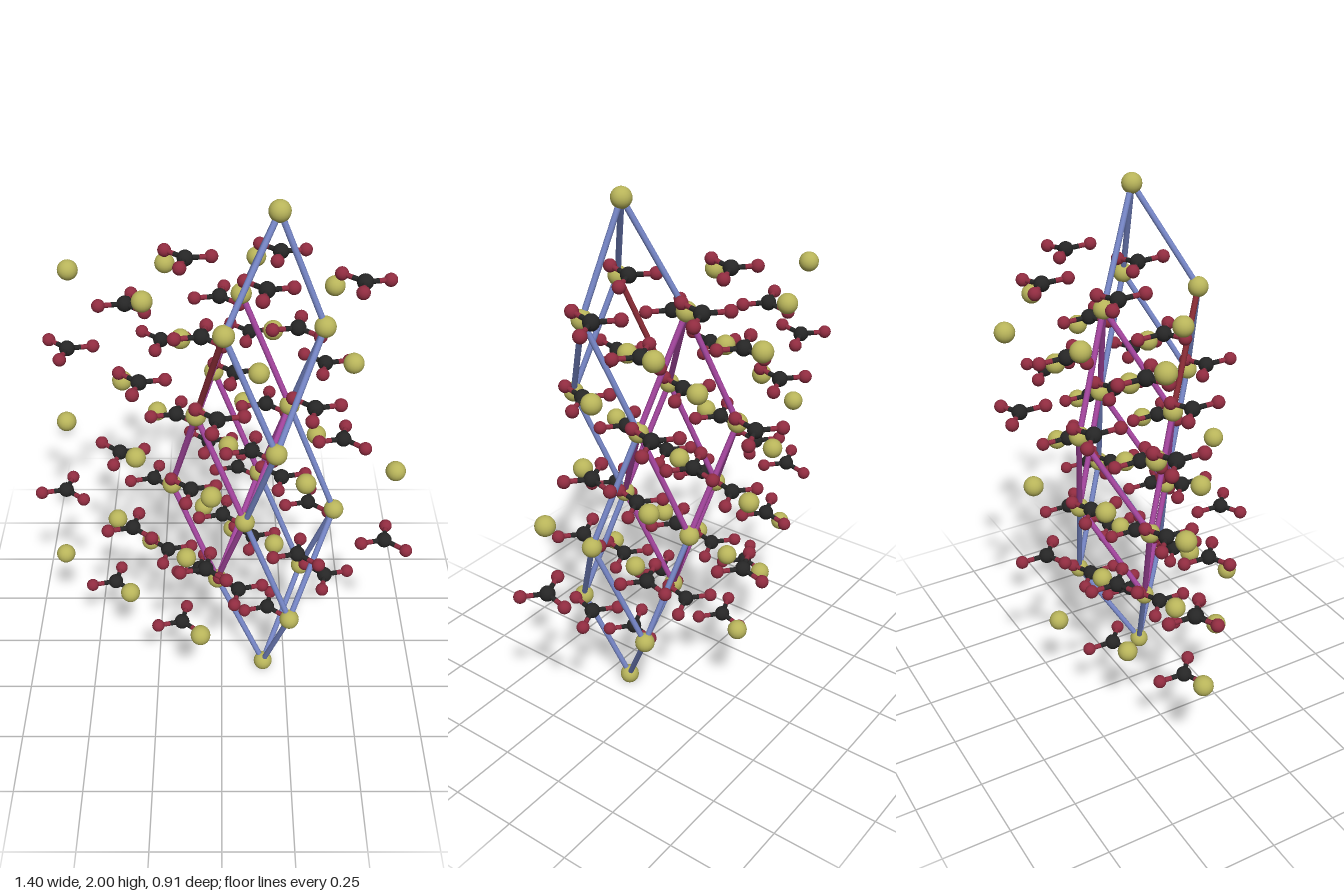
import * as THREE from 'three';

const mat = (color) => new THREE.MeshStandardMaterial({ color });
const V = (x, y, z) => new THREE.Vector3(x, y, z);

// Crystal lattice: two in-plane steps and the rise between layers of one kind
const U = V(0.267, 0.003, 0.226);
const W = V(0.06, -0.036, -0.341);
const RISE = V(0.041, 0.59, -0.061);

// Three kinds of layer, each with a base point and its cells [i, j]
const small = [[0, 0], [-1, 0], [0, 1], [1, 1]];
const large = [[0, 0], [0, 1], [0, 2], [1, 1], [1, 2], [-1, 0], [-1, 1], [-2, 0]];
const LAYERS = {
  A: { base: V(-0.077, 0.442, 0.402), cells: large },
  B: { base: V(-0.13, 0.627, 0.19), cells: small },
  C: { base: V(0.082, 0.812, 0.21), cells: small },
};
const site = (kind, n, i, j) => LAYERS[kind].base.clone()
  .addScaledVector(RISE, n).addScaledVector(U, i).addScaledVector(W, j);

// All sites of one layer, with any extra cells
const layerSites = (kind, n, ...extra) => [...LAYERS[kind].cells, ...extra]
  .map(([i, j]) => site(kind, n, i, j));

export function createModel() {
  const model = new THREE.Group();
  model.name = 'crystalLattice';

  const colors = {
    metal: mat(0xb8b45a), carbon: mat(0x262626), oxygen: mat(0x902c40),
    blue: mat(0x7787c8), magenta: mat(0xa646a0), red: mat(0x8a2c36),
  };
  const sphere = new THREE.SphereGeometry(1, 20, 12);
  const cylinder = new THREE.CylinderGeometry(1, 1, 1, 10, 1, true);

  const ball = (parent, name, p, r, material) => {
    const mesh = new THREE.Mesh(sphere, material);
    mesh.name = name;
    mesh.position.copy(p);
    mesh.scale.setScalar(r);
    parent.add(mesh);
  };
  const rod = (parent, name, a, b, r, material) => {
    const mesh = new THREE.Mesh(cylinder, material);
    const d = b.clone().sub(a);
    mesh.name = name;
    mesh.position.copy(a).add(b).multiplyScalar(0.5);
    mesh.scale.set(r, d.length(), r);
    mesh.quaternion.setFromUnitVectors(V(0, 1, 0), d.normalize());
    parent.add(mesh);
  };

  // Metal atoms
  const metals = new THREE.Group();
  metals.name = 'metalAtoms';
  model.add(metals);
  const bottom = V(0.164, 0.04, 0.143);
  const top = V(0.177, 1.966, 0.113);
  const metalPoints = [
    bottom, top,
    ...layerSites('A', 0), ...layerSites('A', 1, [2, 2]), ...layerSites('A', 2),
    ...layerSites('B', 0), ...layerSites('B', 1, [1, 0]),
    ...layerSites('C', 0), ...layerSites('C', 1),
  ];
  for (const p of metalPoints) ball(metals, 'metalAtom', p, 0.036, colors.metal);

  // Flat three-armed groups, turned over on every second layer
  const arms = [U.clone(), W.clone(), U.clone().add(W).negate()].map((d) => d.normalize());
  const addTriad = (center, sign) => {
    const group = new THREE.Group();
    group.name = 'carbonateGroup';
    group.position.copy(center);
    const zero = V(0, 0, 0);
    ball(group, 'carbonAtom', zero, 0.028, colors.carbon);
    for (const d of arms) {
      const end = d.clone().multiplyScalar(0.094 * sign);
      const mid = end.clone().multiplyScalar(0.52);
      rod(group, 'innerBond', zero, mid, 0.009, colors.carbon);
      rod(group, 'outerBond', mid, end, 0.009, colors.oxygen);
      ball(group, 'oxygenAtom', end, 0.0235, colors.oxygen);
    }
    model.add(group);
  };
  [
    layerSites('B', -1), layerSites('C', -1), layerSites('A', 0, [2, 2]), layerSites('B', 0),
    layerSites('C', 0), layerSites('A', 1), layerSites('B', 1), layerSites('C', 1),
  ].forEach((sites, k) => {
    for (const p of sites) addTriad(p.addScaledVector(RISE, 0.5), k % 2 ? -1 : 1);
  });

  // Unit cell edges: two blue cells joined by a magenta one between them
  const P = {
    bottom, top,
    a0: site('A', 0, 0, 1), a1: site('A', 0, 1, 1), a2: site('A', 0, 1, 2),
    c0: site('C', 0, -1, 0), c1: site('C', 0, 0, 0), c2: site('C', 0, 0, 1), c3: site('C', 0, 1, 1),
    b0: site('B', 1, 0, 0), b1: site('B', 1, 0, 1), b2: site('B', 1, 1, 0), b3: site('B', 1, 1, 1),
    t0: site('A', 2, 0, 0), t1: site('A', 2, 0, 1), t2: site('A', 2, 1, 1),
  };
  const edges = {
    blue: 'bottom-a0 bottom-a1 bottom-a2 a1-c1 a1-c3 a2-c2 a2-c3 c3-b3 '
      + 'c1-b2 b2-t0 b2-t2 b3-t2 t0-top t1-top t2-top',
    magenta: 'a0-c0 a0-c1 a0-c2 c0-b0 c0-b1 c1-b0 c1-b3 c2-b1 c2-b3 b0-t1 b1-t1 b3-t1',
    red: 'b0-t0',
  };
  for (const [color, list] of Object.entries(edges)) {
    const frame = new THREE.Group();
    frame.name = color + 'CellEdges';
    for (const pair of list.split(' ')) {
      const [a, b] = pair.split('-');
      rod(frame, 'cellEdge', P[a], P[b], 0.0105, colors[color]);
    }
    model.add(frame);
  }
  return model;
}
